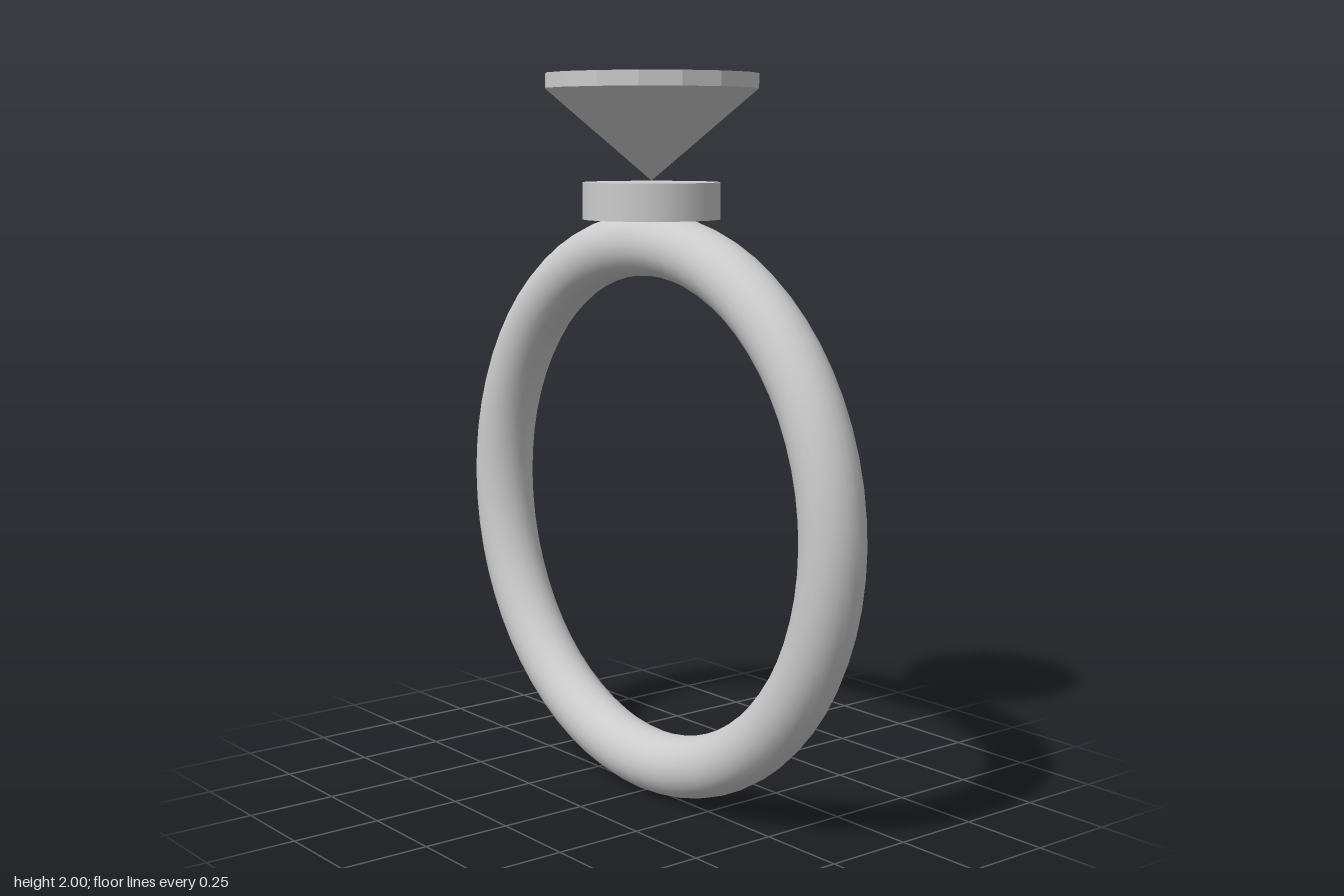
import * as THREE from 'three';

export function createModel() {
  const group = new THREE.Group();
  const smooth = new THREE.MeshStandardMaterial({ color: 0xcccccc });
  const faceted = new THREE.MeshStandardMaterial({ color: 0xcccccc, flatShading: true });

  const add = (name, geometry, material, y) => {
    const mesh = new THREE.Mesh(geometry, material);
    mesh.name = name;
    mesh.position.y = y;
    group.add(mesh);
  };

  // Round band standing upright
  const tube = 0.086, radius = 0.728;
  add('band', new THREE.TorusGeometry(radius, tube, 24, 64), smooth, radius + tube);

  // Disc that holds the stone
  add('setting', new THREE.CylinderGeometry(0.188, 0.188, 0.1, 32), smooth, 1.66);

  // Sixteen-sided stone: pointed pavilion below a thin girdle with a flat table
  const tip = 1.714, girdle = 1.96, top = 2;
  const profile = [[0, tip], [0.29, girdle], [0.29, top], [0, top]]
    .map(([r, y]) => new THREE.Vector2(r, y - tip));
  add('gem', new THREE.LatheGeometry(profile, 16), faceted, tip);

  return group;
}
